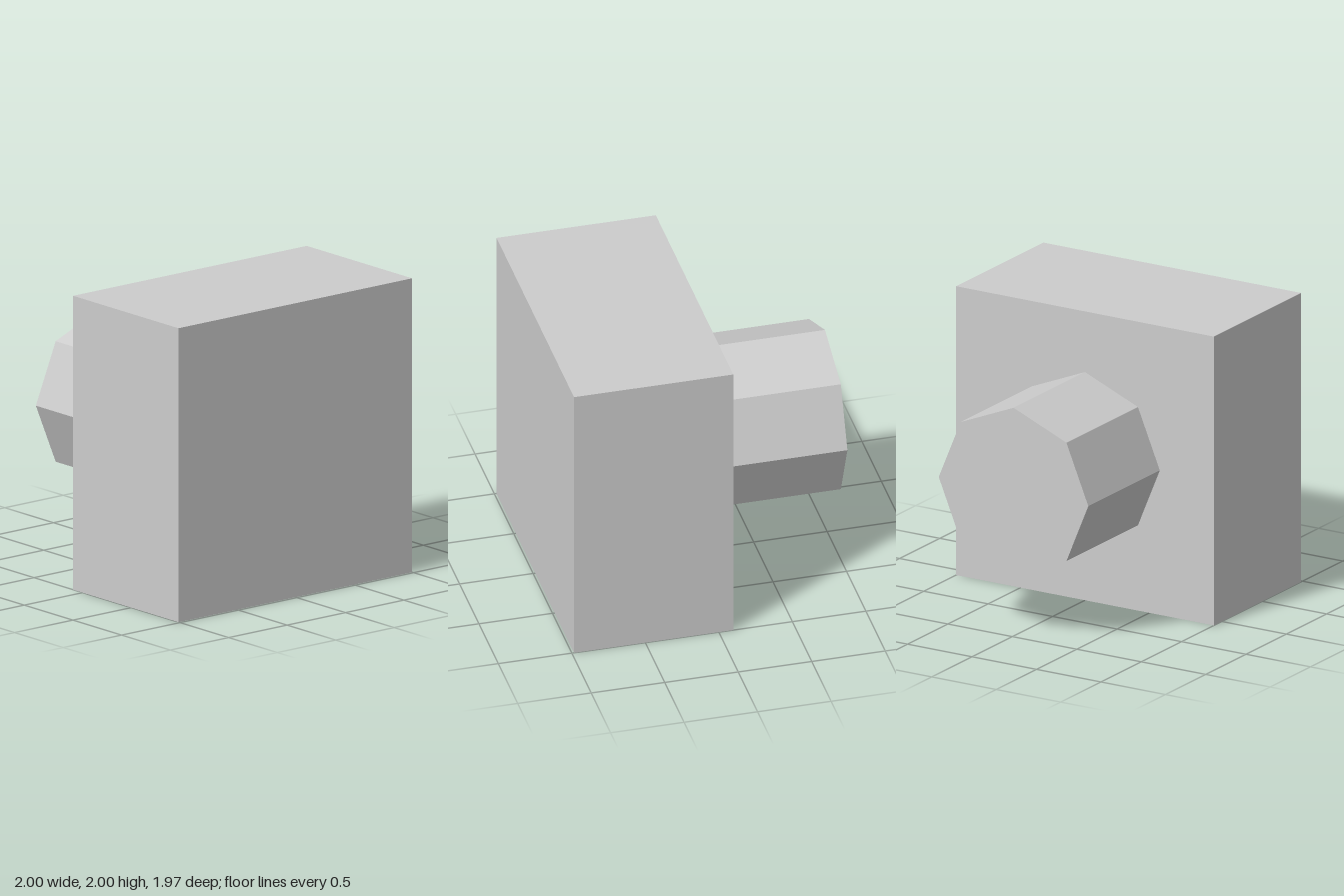
import * as THREE from 'three';

export function createModel() {
  const model = new THREE.Group();
  model.name = 'blockWithPeg';

  const grey = new THREE.MeshStandardMaterial({ color: 0xcccccc, flatShading: true });
  grey.name = 'light grey';

  const back = -0.985, joint = -0.098, front = 0.985;

  // Square block at the front
  const block = new THREE.Mesh(new THREE.BoxGeometry(2, 2, front - joint), grey);
  block.name = 'block';
  block.position.set(0, 1, (front + joint) / 2);
  model.add(block);

  // Eight-sided peg, with corners on the axes, standing out from the back
  const pegGeometry = new THREE.CylinderGeometry(0.58, 0.58, joint - back, 8);
  pegGeometry.rotateX(Math.PI / 2);
  const peg = new THREE.Mesh(pegGeometry, grey);
  peg.name = 'peg';
  peg.position.set(0, 1, (back + joint) / 2);
  model.add(peg);

  return model;
}
